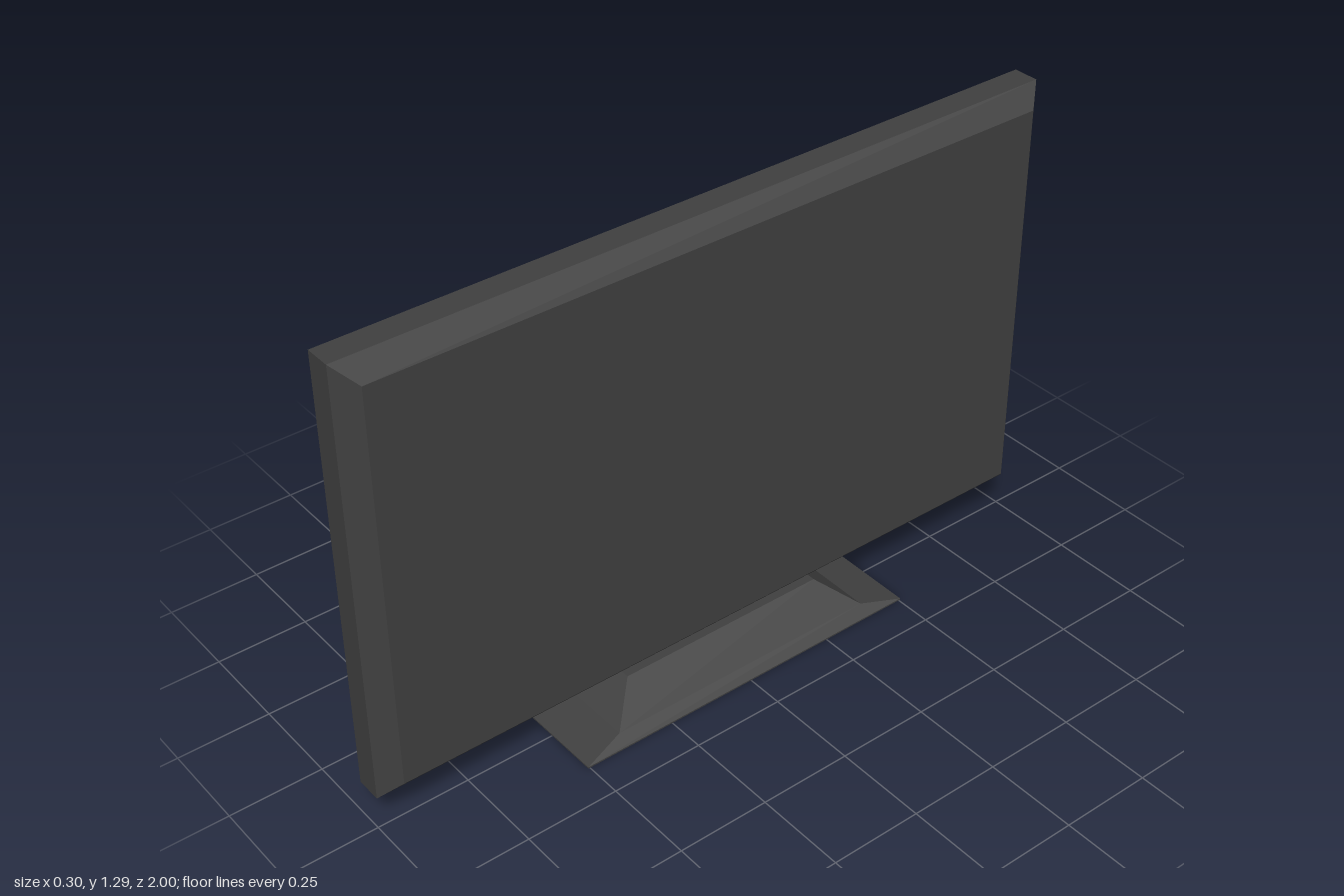
import * as THREE from 'three';

const dark = new THREE.MeshStandardMaterial({ color: 0x404040, flatShading: true });
const grey = new THREE.MeshStandardMaterial({ color: 0xbbbbbb });

// Flat-sided solid through rectangular sections [y, halfX, halfZ]
function rectLoft(rings, capStart, capEnd) {
  const pos = [];
  const corners = ([y, a, b]) => [[a, y, b], [a, y, -b], [-a, y, -b], [-a, y, b]];
  const quad = (p, q, r, s) => pos.push(...p, ...q, ...r, ...p, ...r, ...s);
  const loops = rings.map(corners);
  for (let i = 0; i < loops.length - 1; i++) {
    for (let k = 0; k < 4; k++) {
      const n = (k + 1) % 4;
      quad(loops[i][k], loops[i][n], loops[i + 1][n], loops[i + 1][k]);
    }
  }
  if (capStart) quad(...[...loops[0]].reverse());
  if (capEnd) quad(...loops[loops.length - 1]);
  const g = new THREE.BufferGeometry();
  g.setAttribute('position', new THREE.Float32BufferAttribute(pos, 3));
  g.computeVertexNormals();
  return g;
}

export function createModel() {
  const model = new THREE.Group();
  const add = (name, geometry, material, x = 0, y = 0, z = 0) => {
    const mesh = new THREE.Mesh(geometry, material);
    mesh.name = name;
    mesh.position.set(x, y, z);
    model.add(mesh);
  };

  const centreY = 0.695;

  // Housing: bezel lip, straight sides, bevelled rear (sections run along x)
  const housing = rectLoft([
    [-0.055, 0.567, 0.972],
    [-0.06, 0.567, 0.972],
    [-0.06, 0.595, 1],
    [0.01, 0.595, 1],
    [0.055, 0.545, 0.95],
  ], false, true).rotateZ(-Math.PI / 2);
  add('housing', housing, dark, 0, centreY);

  // Display panel, slightly recessed in the bezel
  add('screen', new THREE.PlaneGeometry(1.944, 1.134).rotateY(-Math.PI / 2), grey, -0.055, centreY);

  // Small indicator on the bezel's lower edge
  add('indicator', new THREE.BoxGeometry(0.006, 0.008, 0.012), dark, -0.06, 0.113, 0.82);

  // Stand: wide flared foot rising to a narrow neck
  const stand = rectLoft([
    [0, 0.148, 0.505],
    [0.004, 0.148, 0.505],
    [0.028, 0.12, 0.39],
    [0.102, 0.036, 0.3],
  ], true, true);
  add('stand', stand, dark);

  return model;
}
